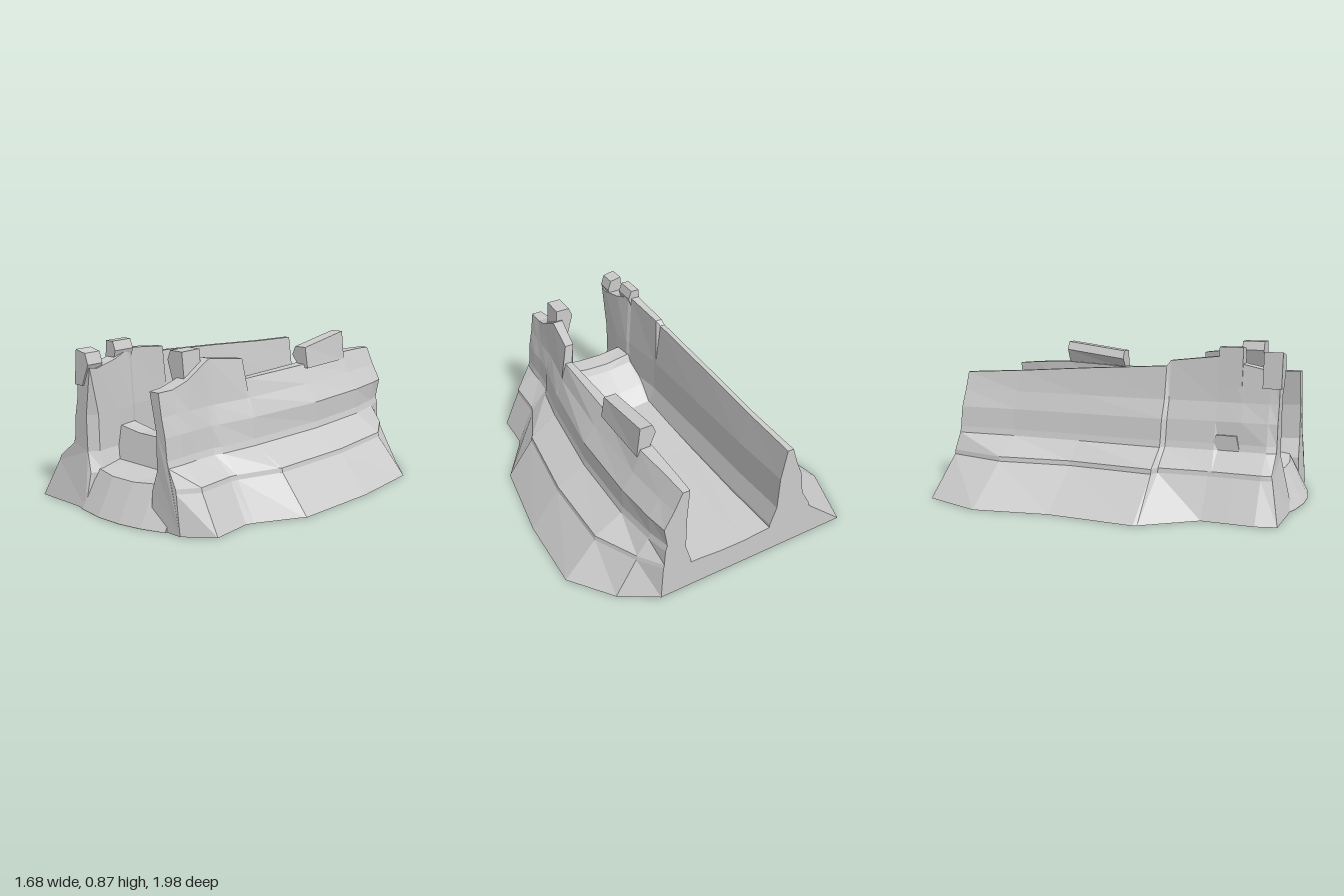
import * as THREE from 'three';

const material = new THREE.MeshStandardMaterial({ color: 0xcccccc, flatShading: true });

// Skin closed counter-clockwise sections (ordered by rising z) and cap both ends
function loft(name, sections) {
  const pos = [];
  const tri = (a, b, c) => pos.push(...a, ...b, ...c);
  const n = sections[0].length;
  for (let i = 0; i < sections.length - 1; i++) {
    for (let j = 0; j < n; j++) {
      const k = (j + 1) % n;
      const a = sections[i][j], b = sections[i][k];
      const c = sections[i + 1][k], d = sections[i + 1][j];
      tri(a, b, c);
      tri(a, c, d);
    }
  }
  [[sections[0], -1], [sections[sections.length - 1], 1]].forEach(([s, dir]) => {
    const flat = s.map(p => new THREE.Vector2(p[0], p[1]));
    for (const [i, j, k] of THREE.ShapeUtils.triangulateShape(flat, [])) {
      const area = (s[j][0] - s[i][0]) * (s[k][1] - s[i][1]) - (s[k][0] - s[i][0]) * (s[j][1] - s[i][1]);
      if (area * dir > 0) tri(s[i], s[j], s[k]);
      else tri(s[i], s[k], s[j]);
    }
  });
  const geometry = new THREE.BufferGeometry();
  geometry.setAttribute('position', new THREE.Float32BufferAttribute(pos, 3));
  geometry.computeVertexNormals();
  const mesh = new THREE.Mesh(geometry, material);
  mesh.name = name;
  return mesh;
}

// Mirror a section to the -x side while keeping its winding
const toSide = (section, side) =>
  side > 0 ? section : section.map(([x, y, z]) => [-x, y, z]).reverse();

// Rock wall: sloped foot, two ledges, leaning cliff and a narrow crest
// row: z, base, ledge, shelf, bulge, crest outside, crest inside, crest height, inner foot
// toe: how far the foot of the front end runs forward
function cliff(name, side, toe, rows) {
  const sections = rows.map(([z, base, ledge, shelf, bulge, out, inn, top, foot], i) => {
    const front = i === rows.length - 1;
    const points = [
      [base, 0], [ledge, 0.21], [ledge - 0.005, 0.235],
      [shelf, 0.33], [shelf - 0.01, 0.365], [bulge, 0.48],
      [out + (bulge - out) * 0.45, 0.58], [out, top], [inn, top],
      [foot, 0.5], [foot, 0.3], [foot - 0.035, 0.19], [foot - 0.035, 0],
    ];
    return toSide(points.map(([x, y]) =>
      [x, y, z + (front ? toe * Math.max(0, 1 - y / 0.25) : 0)]), side);
  });
  return loft(name, sections);
}

// Crest block with its own heights at the back and front, leaning inward
function block(name, side, x0, x1, z0, z1, yBack, yFront, innerDrop = 0) {
  const y0 = 0.66;
  const section = (z, y) => toSide([
    [x1 + 0.02, y0, z], [x1, y, z], [x0 + 0.02, y - innerDrop * 0.3, z],
    [x0, y - 0.05 - innerDrop * 0.5, z], [x0 + 0.05, y0, z],
  ], side);
  return loft(name, [section(z0, yBack), section(z1, yFront)]);
}

export function createModel() {
  const model = new THREE.Group();
  model.name = 'rockCanyon';

  model.add(cliff('leftCliff', 1, 0.01, [
    [-0.99, 0.46, 0.45, 0.44, 0.45, 0.35, 0.31, 0.68, 0.32],
    [-0.87, 0.66, 0.54, 0.47, 0.47, 0.36, 0.31, 0.69, 0.32],
    [-0.64, 0.84, 0.66, 0.50, 0.49, 0.38, 0.31, 0.70, 0.31],
    [-0.20, 0.84, 0.67, 0.50, 0.49, 0.37, 0.31, 0.68, 0.32],
    [0.29, 0.78, 0.62, 0.45, 0.43, 0.36, 0.32, 0.68, 0.32],
    [0.30, 0.77, 0.61, 0.45, 0.43, 0.35, 0.30, 0.79, 0.32],
    [0.53, 0.62, 0.51, 0.41, 0.38, 0.32, 0.26, 0.82, 0.29],
    [0.57, 0.60, 0.50, 0.39, 0.37, 0.32, 0.25, 0.80, 0.28],
    [0.70, 0.60, 0.50, 0.38, 0.36, 0.32, 0.24, 0.73, 0.27],
    [0.79, 0.60, 0.50, 0.38, 0.36, 0.31, 0.23, 0.70, 0.27],
    [0.89, 0.45, 0.42, 0.37, 0.35, 0.31, 0.25, 0.70, 0.29],
  ]));

  model.add(cliff('rightCliff', -1, 0.06, [
    [-0.99, 0.72, 0.48, 0.42, 0.39, 0.31, 0.275, 0.68, 0.25],
    [-0.64, 0.84, 0.56, 0.40, 0.37, 0.30, 0.27, 0.70, 0.24],
    [-0.22, 0.77, 0.51, 0.40, 0.37, 0.30, 0.27, 0.73, 0.24],
    [0.27, 0.79, 0.54, 0.41, 0.38, 0.30, 0.27, 0.76, 0.24],
    [0.29, 0.78, 0.49, 0.38, 0.35, 0.29, 0.25, 0.79, 0.24],
    [0.56, 0.58, 0.47, 0.37, 0.34, 0.28, 0.23, 0.82, 0.21],
    [0.58, 0.58, 0.47, 0.36, 0.34, 0.28, 0.22, 0.82, 0.20],
    [0.70, 0.58, 0.47, 0.36, 0.34, 0.28, 0.20, 0.78, 0.19],
    [0.84, 0.58, 0.47, 0.36, 0.33, 0.28, 0.19, 0.75, 0.19],
    [0.89, 0.55, 0.46, 0.34, 0.32, 0.28, 0.19, 0.76, 0.23],
  ]));

  // Crest blocks
  model.add(block('leftFrontBlock', 1, 0.18, 0.28, 0.56, 0.69, 0.87, 0.87));
  model.add(block('leftBackBlock', 1, 0.29, 0.38, -0.63, -0.24, 0.83, 0.78));
  model.add(block('rightMiddleBlock', -1, 0.21, 0.28, 0.56, 0.69, 0.87, 0.87));
  model.add(block('rightFrontBlock', -1, 0.19, 0.28, 0.8, 0.9, 0.85, 0.85, 0.05));

  // Valley floor, rising to the cross bar and falling away over the front apron
  // row: z, height at the edges, height in the middle
  const across = [0.36, 0.23, 0.1, -0.05, -0.2, -0.36];
  const floorRows = [
    [-0.99, 0.17, 0.15], [-0.2, 0.18, 0.16], [0.3, 0.2, 0.17], [0.4, 0.27, 0.24],
    [0.55, 0.36, 0.33], [0.57, 0.41, 0.37], [0.68, 0.41, 0.38], [0.72, 0.23, 0.23],
    [0.88, 0.21, 0.19], [0.99, 0, 0],
  ];
  model.add(loft('valleyFloor', floorRows.map(([z, edge, mid], i) => {
    const bow = x => z - (i >= floorRows.length - 2 ? 0.6 * x * x : 0);
    const top = across.map(x => {
      const t = Math.min(1, Math.abs(x - 0.02) / 0.2);
      return [x, Math.max(0.002, mid + (edge - mid) * t), bow(x)];
    });
    const bottom = [...across].reverse().map(x => [x, 0, bow(x)]);
    return [...top, ...bottom];
  })));

  return model;
}
